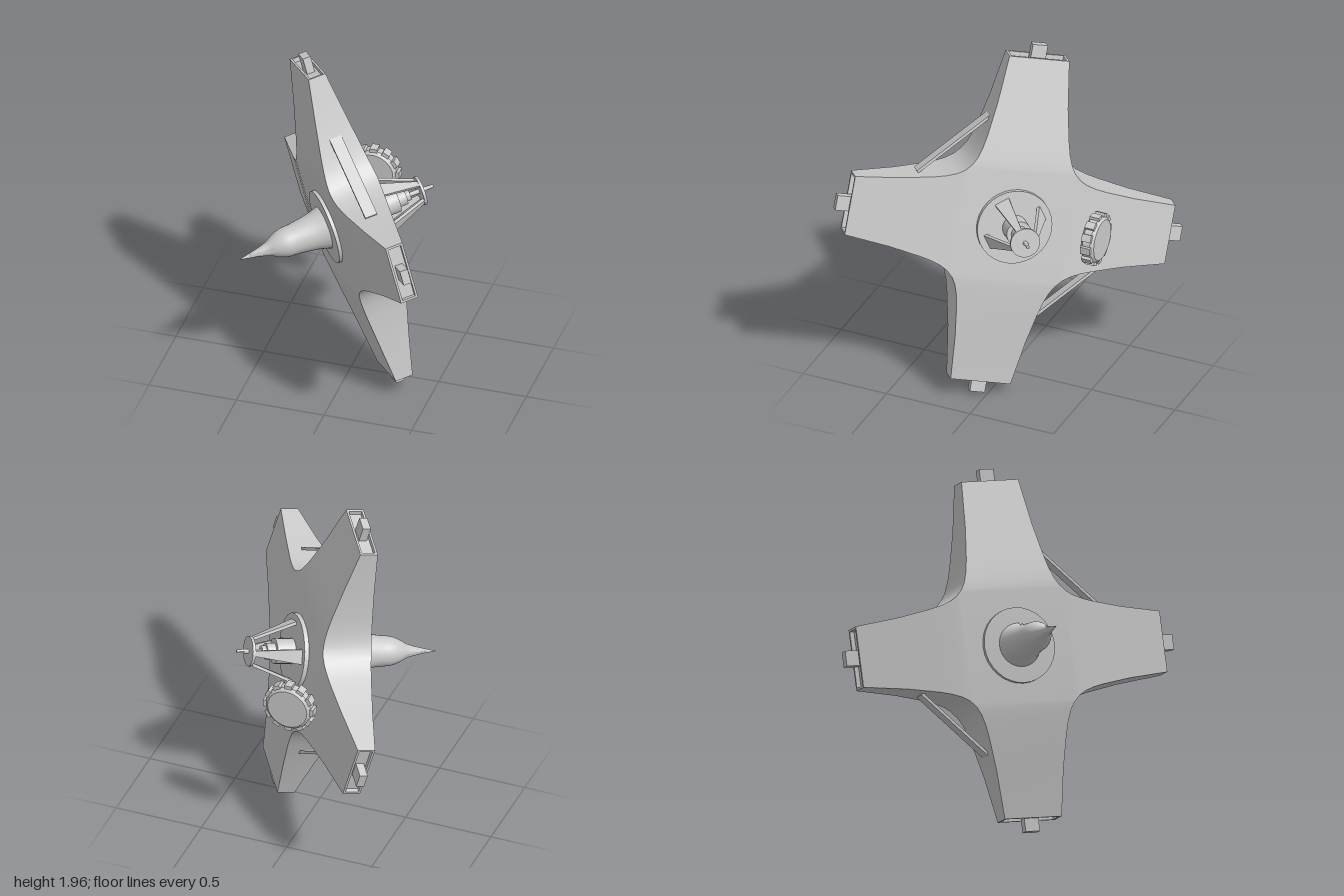
import * as THREE from 'three';
import { mergeVertices, toCreasedNormals } from 'three/addons/utils/BufferGeometryUtils.js';

const material = new THREE.MeshStandardMaterial({ color: 0xcccccc, side: THREE.DoubleSide });

function add(parent, name, geometry, x = 0, y = 0, z = 0) {
  const mesh = new THREE.Mesh(geometry, material);
  mesh.name = name;
  mesh.position.set(x, y, z);
  parent.add(mesh);
  return mesh;
}

// Solid of revolution about z; profile is [radius, z] from low z to high z
function turned(profile, sides, crease = 0.6) {
  const g = new THREE.LatheGeometry(profile.map(p => new THREE.Vector2(p[0], p[1])), sides);
  g.rotateX(Math.PI / 2);
  return toCreasedNormals(g, crease);
}

// Cross-shaped hull: four tapering arms whose inner wedges meet in the centre
// Each station: distance along the arm, half width, half thickness
const stations = [
  [0, 0, 0.14], [0.31, 0.31, 0.14], [0.33, 0.291, 0.139], [0.37, 0.268, 0.135],
  [0.43, 0.247, 0.127], [0.5, 0.231, 0.117], [0.68, 0.2, 0.089], [0.94, 0.17, 0.05],
];

function hullGeometry(lengths) {
  const positions = [];
  lengths.forEach((length, arm) => {
    const angle = arm * Math.PI / 2, c = Math.cos(angle), s = Math.sin(angle);
    const rows = stations.map(([m, w, h]) =>
      [m > 0.31 ? 0.31 + (m - 0.31) * (length - 0.31) / 0.63 : m, w, h]);
    // Recessed end panel with a thin rim
    rows.push([length, 0.157, 0.038], [length - 0.025, 0.157, 0.038]);
    const rings = rows.map(([m, w, h]) =>
      [[-w, h], [w, h], [w, -h], [-w, -h]].map(([x, z]) => [x * c - m * s, x * s + m * c, z]));
    const tri = (...corners) => corners.forEach(p => positions.push(...p));
    for (let i = 0; i < rings.length - 1; i++) {
      for (let k = 0; k < 4; k++) {
        if (i === 0 && k % 2 === 1) continue; // no walls inside the centre
        const n = (k + 1) % 4, a = rings[i], b = rings[i + 1];
        if (i > 0) tri(a[k], a[n], b[n]);
        tri(a[k], b[n], b[k]);
      }
    }
    const end = rings[rings.length - 1];
    tri(end[0], end[1], end[2]);
    tri(end[0], end[2], end[3]);
  });
  const g = new THREE.BufferGeometry();
  g.setAttribute('position', new THREE.Float32BufferAttribute(positions, 3));
  return toCreasedNormals(mergeVertices(g), 0.6);
}

export function createModel() {
  const model = new THREE.Group();
  model.name = 'spaceStation';

  // Tilted frame: x and y run along the arms, z along the spike
  const station = new THREE.Group();
  station.name = 'station';
  const up = new THREE.Vector3(-0.283, 0.957, -0.059).normalize();
  const front = new THREE.Vector3(-0.775, -0.193, 0.602).normalize();
  const side = new THREE.Vector3().crossVectors(up, front).normalize();
  front.crossVectors(side, up);
  station.quaternion.setFromRotationMatrix(new THREE.Matrix4().makeBasis(side, up, front));
  station.position.y = 1;
  model.add(station);

  const lengths = [0.94, 0.91, 0.94, 0.91];
  add(station, 'hull', hullGeometry(lengths));

  // Docking blocks on the arm ends
  lengths.forEach((length, i) => {
    const a = i * Math.PI / 2, r = length + 0.02;
    const block = add(station, 'dockingBlock', new THREE.BoxGeometry(0.085, 0.1, 0.045),
      -Math.sin(a) * r, Math.cos(a) * r, 0);
    block.rotation.z = a;
  });

  // Diagonal braces across two opposite corners
  for (const s of [1, -1]) {
    const brace = add(station, 'cornerBrace', new THREE.BoxGeometry(0.53, 0.016, 0.07),
      0.375 * s, 0.41 * s, 0.005);
    brace.rotation.z = -0.795;
  }

  // Front spike on its round base
  add(station, 'spikeBase', turned([[0, 0.13], [0.21, 0.13], [0.21, 0.16], [0, 0.165]], 32), 0, 0, 0);
  const spikeCurve = new THREE.SplineCurve([
    [0.122, 0.16], [0.102, 0.23], [0.087, 0.33], [0.081, 0.4], [0.064, 0.45],
    [0.038, 0.5], [0.02, 0.57], [0.008, 0.63], [0, 0.67],
  ].map(p => new THREE.Vector2(...p)));
  add(station, 'spike', turned(spikeCurve.getPoints(32).map(p => [Math.max(p.x, 0), p.y]), 32, 1));

  // Rear mast: base plate, stepped column, dish and antenna
  add(station, 'mastBase', turned([[0, -0.165], [0.21, -0.165], [0.21, -0.13], [0, -0.13]], 32));
  add(station, 'mastColumn', turned([
    [0, -0.345], [0.03, -0.345], [0.03, -0.32], [0.045, -0.32], [0.045, -0.27],
    [0.07, -0.27], [0.07, -0.16], [0, -0.16],
  ], 24));
  add(station, 'dish', turned([[0, -0.418], [0.083, -0.418], [0.083, -0.402], [0, -0.402]], 24));
  add(station, 'antenna', turned([
    [0, -0.49], [0.009, -0.485], [0.013, -0.43], [0.013, -0.34], [0, -0.34],
  ], 12));

  // Four tapering struts from the base plate up to the dish
  const foot = new THREE.Vector3(0.165, 0, -0.16), head = new THREE.Vector3(0.068, 0, -0.405);
  for (let i = 0; i < 4; i++) {
    const g = new THREE.BoxGeometry(0.018, 1, 1);
    const p = g.attributes.position;
    for (let v = 0; v < p.count; v++) {
      const t = p.getZ(v) < 0 ? 1 : 0;
      p.setXYZ(v, p.getX(v) + THREE.MathUtils.lerp(foot.x, head.x, t),
        p.getY(v) * (t ? 0.03 : 0.085), THREE.MathUtils.lerp(foot.z, head.z, t));
    }
    g.computeVertexNormals();
    add(station, 'strut', g).rotation.z = (55 + 90 * i) * Math.PI / 180;
  }

  // Free-floating toothed wheel behind the hull
  const wheel = new THREE.Group();
  wheel.name = 'wheel';
  wheel.position.set(-0.025, 0.98, -0.515);
  model.add(wheel);
  add(wheel, 'wheelBody', turned([
    [0, -0.039], [0.115, -0.039], [0.133, -0.022], [0.133, 0.022], [0.115, 0.039], [0, 0.039],
  ], 24, 0.2));
  for (let i = 0; i < 12; i++) {
    const a = i * Math.PI / 6;
    const tooth = add(wheel, 'wheelTooth', new THREE.BoxGeometry(0.04, 0.042, 0.055),
      Math.cos(a) * 0.127, Math.sin(a) * 0.127, 0);
    tooth.rotation.z = a;
  }
  return model;
}
